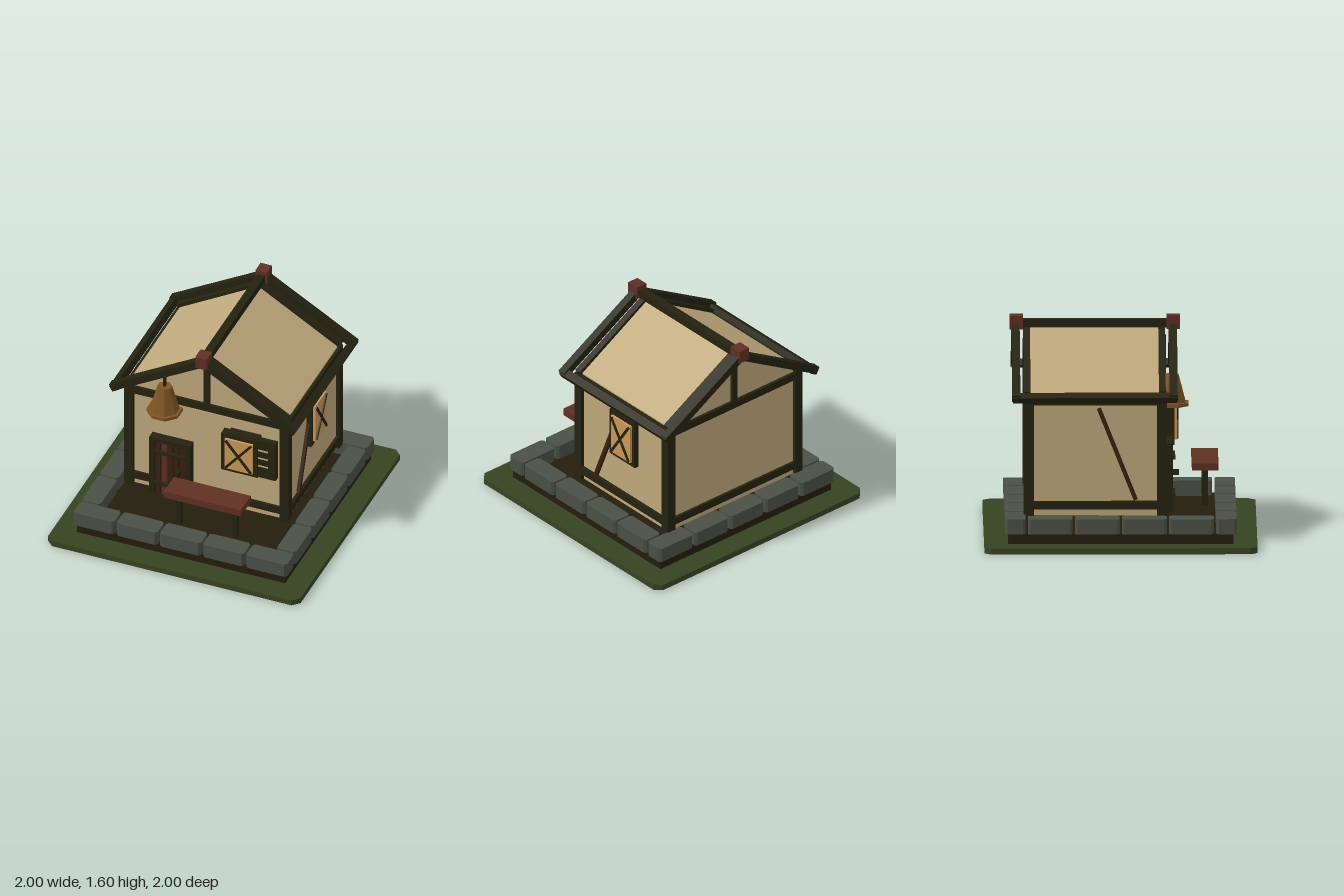
import * as THREE from 'three';

const mat = (name, color) => Object.assign(new THREE.MeshStandardMaterial({ color, flatShading: true }), { name });
const M = {
  plaster: mat('plaster', 0xbfa87b), beam: mat('dark beam', 0x24220f), stone: mat('stone', 0x4a5046),
  grass: mat('grass', 0x364422), earth: mat('earth', 0x241d0d), redwood: mat('red wood', 0x5f3021),
  brown: mat('brown wood', 0x382112), brass: mat('brass', 0x7d5522), pane: mat('window pane', 0xcb9855),
};

function add(parent, name, geo, material, x = 0, y = 0, z = 0) {
  const m = new THREE.Mesh(geo, material);
  m.name = name;
  m.position.set(x, y, z);
  parent.add(m);
  return m;
}

// box given by its lower and upper limits
function box(parent, name, material, x0, x1, y0, y1, z0, z1) {
  return add(parent, name, new THREE.BoxGeometry(x1 - x0, y1 - y0, z1 - z0), material,
    (x0 + x1) / 2, (y0 + y1) / 2, (z0 + z1) / 2);
}

// flat block with cut vertical corners, standing on y = 0
function cutBlock(w, h, d, c) {
  const a = w / 2, b = d / 2;
  const pts = [[a - c, -b], [a, c - b], [a, b - c], [a - c, b], [c - a, b], [-a, b - c], [-a, c - b], [c - a, -b]];
  const s = new THREE.Shape(pts.map(p => new THREE.Vector2(...p)));
  return new THREE.ExtrudeGeometry(s, { depth: h, bevelEnabled: false }).rotateX(-Math.PI / 2);
}

// straight bar between two points in the xy plane
function bar(parent, name, material, x0, y0, x1, y1, thick, depth, z) {
  const m = add(parent, name, new THREE.BoxGeometry(Math.hypot(x1 - x0, y1 - y0), thick, depth), material,
    (x0 + x1) / 2, (y0 + y1) / 2, z);
  m.rotation.z = Math.atan2(y1 - y0, x1 - x0);
  return m;
}

// window facing +z, centred on its own origin: frame, pane and crossed bars
function makeWindow(name, w, h, pw, ph) {
  const g = new THREE.Group();
  g.name = name;
  const t = (w - pw) / 2, u = (h - ph) / 2;
  for (const s of [-1, 1]) {
    add(g, 'windowJamb', new THREE.BoxGeometry(t, h, 0.07), M.beam, s * (w - t) / 2, 0, 0);
    add(g, 'windowRail', new THREE.BoxGeometry(pw, u, 0.07), M.beam, 0, s * (h - u) / 2, 0);
    bar(g, 'windowCross', M.beam, -pw / 2 + 0.01, -s * (ph / 2 - 0.01), pw / 2 - 0.01, s * (ph / 2 - 0.01), 0.018, 0.012, 0.058);
  }
  add(g, 'windowPane', new THREE.BoxGeometry(pw, ph, 0.018), M.pane, 0, 0, 0.044);
  return g;
}

export function createModel() {
  const root = new THREE.Group();
  root.name = 'cottage';

  // ground
  add(root, 'grassPlate', cutBlock(2, 0.045, 2, 0.05), M.grass);
  box(root, 'earthSlab', M.earth, -0.825, 0.825, 0.045, 0.12, -0.825, 0.825);

  // ring of kerb stones
  for (let i = -2; i <= 2; i++)
    for (const s of [-1, 1]) add(root, 'kerbStone', cutBlock(0.324, 0.112, 0.15, 0.018), M.stone, i * 0.342, 0.12, s * 0.773);
  for (let i = 0; i < 4; i++)
    for (const s of [-1, 1]) add(root, 'kerbStone', cutBlock(0.15, 0.112, 0.328, 0.018), M.stone, s * 0.773, 0.12, (i - 1.5) * 0.345);

  // plaster body with gabled top
  const F = 0.315, B = -0.685, mid = (F + B) / 2;
  const body = new THREE.Shape([[-0.625, 0.22], [0.625, 0.22], [0.625, 1.13], [0, 1.5], [-0.625, 1.13]].map(p => new THREE.Vector2(...p)));
  add(root, 'plasterBody', new THREE.ExtrudeGeometry(body, { depth: F - B, bevelEnabled: false }), M.plaster, 0, 0, B);

  // timber frame
  for (const s of [-1, 1]) {
    const x0 = Math.min(s * 0.58, s * 0.65), x1 = Math.max(s * 0.58, s * 0.65);
    box(root, 'cornerPost', M.beam, x0, x1, 0.22, 1.12, 0.265, 0.34);
    box(root, 'cornerPost', M.beam, x0, x1, 0.22, 1.12, -0.71, -0.635);
    box(root, 'sideSill', M.beam, x0, x1, 0.27, 0.33, -0.65, 0.28);
    box(root, 'sidePlate', M.beam, x0, x1, 1.045, 1.12, -0.65, 0.28);
    const brace = bar(root, 'sideBrace', M.brown, -0.16, 0.34, 0.11, 1.02, 0.03, 0.03, 0);
    brace.rotation.set(0, Math.PI / 2, brace.rotation.z, 'YXZ');
    brace.position.set(s * 0.635, 0.68, -0.025);
  }
  for (const z of [0.31, -0.68]) {
    box(root, 'gableTieBeam', M.beam, -0.64, 0.64, 1.045, 1.105, z - 0.028, z + 0.028);
    box(root, 'kingPost', M.beam, -0.025, 0.025, 1.1, 1.45, z - 0.025, z + 0.025);
    for (const s of [-1, 1]) bar(root, 'wallRafter', M.beam, 0, 1.5, s * 0.64, 1.127, 0.045, 0.05, z - 0.005);
  }
  box(root, 'frontSill', M.beam, -0.6, -0.42, 0.27, 0.33, 0.28, 0.335);
  box(root, 'frontSill', M.beam, -0.12, 0.6, 0.27, 0.33, 0.28, 0.335);
  box(root, 'backSill', M.beam, -0.6, 0.6, 0.27, 0.33, -0.705, -0.65);

  // overhanging roof frame
  for (const s of [-1, 1]) {
    for (const z of [0.387, -0.765]) bar(root, 'roofRafter', M.beam, 0, 1.53, s * 0.725, 1.108, 0.058, 0.06, z);
    bar(root, 'eaveBeam', M.beam, s * 0.675, 1.125, s * 0.728, 1.094, 0.05, 1.2, mid - 0.004);
  }
  box(root, 'ridgeBeam', M.beam, -0.03, 0.03, 1.51, 1.57, -0.78, 0.41);
  for (const z of [0.39, -0.76]) box(root, 'ridgeBlock', M.redwood, -0.045, 0.045, 1.5, 1.6, z - 0.05, z + 0.05);

  // door
  box(root, 'doorJamb', M.beam, -0.435, -0.395, 0.21, 0.72, 0.3, 0.385);
  box(root, 'doorJamb', M.beam, -0.15, -0.11, 0.21, 0.72, 0.3, 0.385);
  box(root, 'doorLintel', M.beam, -0.435, -0.11, 0.69, 0.72, 0.3, 0.385);
  box(root, 'doorBacking', M.beam, -0.395, -0.15, 0.22, 0.69, 0.3, 0.345);
  for (let i = 0; i < 5; i++) {
    const x = -0.37 + i * 0.049;
    box(root, 'doorPlank', i === 1 ? M.redwood : M.brown, x - 0.019, x + 0.019, 0.22, 0.69, 0.34, 0.375);
  }
  for (const y of [0.325, 0.605]) box(root, 'doorStrap', M.beam, -0.395, -0.15, y - 0.01, y + 0.01, 0.37, 0.402);
  box(root, 'doorHandle', M.beam, -0.215, -0.185, 0.445, 0.485, 0.375, 0.43);

  // front window with open louvred shutter
  const front = makeWindow('frontWindow', 0.29, 0.33, 0.22, 0.265);
  front.position.set(0.287, 0.767, 0.365);
  root.add(front);
  box(root, 'windowHead', M.beam, 0.19, 0.43, 0.925, 0.94, 0.32, 0.385);
  box(root, 'shutter', M.beam, 0.405, 0.57, 0.605, 0.935, 0.34, 0.39);
  for (const y of [0.71, 0.78, 0.85]) box(root, 'shutterSlat', M.plaster, 0.415, 0.51, y - 0.006, y + 0.006, 0.385, 0.394);

  // side window
  const side = makeWindow('sideWindow', 0.28, 0.385, 0.215, 0.315);
  side.position.set(0.628, 0.817, -0.21);
  side.rotation.y = Math.PI / 2;
  root.add(side);

  // hanging bell
  const bell = new THREE.Group();
  bell.name = 'bell';
  bell.position.set(-0.315, 0, 0.375);
  root.add(bell);
  const turn = Math.PI / 8;
  add(bell, 'bellCup', new THREE.CylinderGeometry(0.055, 0.112, 0.21, 8).rotateY(turn), M.brass, 0, 1.11, 0);
  add(bell, 'bellRim', new THREE.CylinderGeometry(0.133, 0.133, 0.025, 8).rotateY(turn), M.brass, 0, 0.998, 0);
  add(bell, 'bellRod', new THREE.CylinderGeometry(0.012, 0.012, 0.13, 6), M.beam, 0, 1.265, 0);
  add(bell, 'bellClapper', new THREE.CylinderGeometry(0.013, 0.013, 0.07, 6), M.beam, 0, 0.975, 0);

  // bench
  box(root, 'benchSeat', M.redwood, -0.18, 0.43, 0.47, 0.525, 0.525, 0.72);
  for (const x of [-0.097, 0.347]) box(root, 'benchLeg', M.beam, x - 0.022, x + 0.022, 0.2, 0.47, 0.6, 0.645);

  return root;
}
